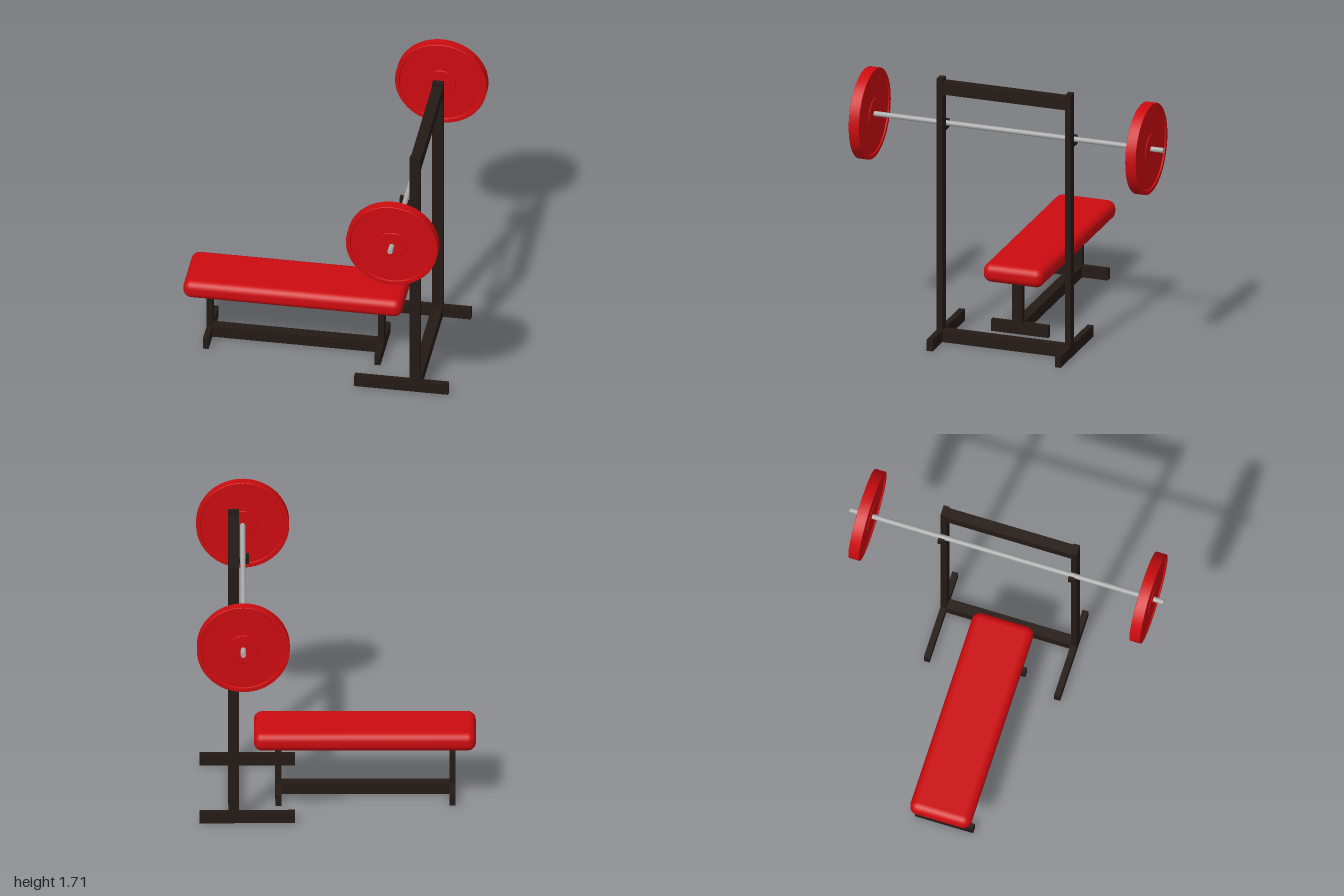
import * as THREE from 'three';
import { toCreasedNormals } from 'three/addons/utils/BufferGeometryUtils.js';
import { RoundedBoxGeometry } from 'three/addons/geometries/RoundedBoxGeometry.js';

const steel = new THREE.MeshStandardMaterial({ color: 0x241a16 });
const red = new THREE.MeshStandardMaterial({ color: 0xcc0c10 });
const chrome = new THREE.MeshStandardMaterial({ color: 0xaaaaaa });

// Box given by its extents along each axis
function beam(parent, name, [x0, x1], [y0, y1], [z0, z1]) {
  const mesh = new THREE.Mesh(new THREE.BoxGeometry(x1 - x0, y1 - y0, z1 - z0), steel);
  mesh.position.set((x0 + x1) / 2, (y0 + y1) / 2, (z0 + z1) / 2);
  mesh.name = name;
  parent.add(mesh);
}

// Weight plate: raised rim and hub around a recessed web, same on both faces
function plateGeometry() {
  const half = 0.034, web = 0.026, hub = 0.031;
  const lower = [[0, -hub], [0.09, -hub], [0.093, -web], [0.254, -web], [0.258, -half], [0.281, -half], [0.283, -half + 0.002]];
  const upper = lower.map(([r, y]) => [r, -y]).reverse();
  const points = [...lower, ...upper].map(([r, y]) => new THREE.Vector2(r, y));
  const geo = new THREE.LatheGeometry(points, 64);
  geo.rotateX(Math.PI / 2);
  return toCreasedNormals(geo, 0.5);
}

function createBench() {
  const bench = new THREE.Group();
  bench.name = 'bench';
  const pad = new THREE.Mesh(new RoundedBoxGeometry(1.35, 0.12, 0.388, 6, 0.05), red);
  pad.position.set(-0.175, 0.415, 0.009);
  pad.name = 'pad';
  bench.add(pad);

  // Legs on cross feet, joined by a floor rail
  const legZ = [-0.013, 0.053];
  for (const x of [[-0.725, -0.69], [0.333, 0.37]]) {
    beam(bench, 'benchLeg', x, [0.07, 0.37], legZ);
    beam(bench, 'benchFoot', x, [0, 0.073], [-0.18, 0.19]);
  }
  beam(bench, 'benchRail', [-0.69, 0.333], [0, 0.073], legZ);
  return bench;
}

function createRack() {
  const rack = new THREE.Group();
  rack.name = 'rack';
  const postX = [0.59, 0.656];
  for (const z of [[0.4, 0.438], [-0.43, -0.393]]) {
    beam(rack, 'upright', postX, [0, 1.705], z);
    beam(rack, 'rackFootInner', [0.25, 0.59], [0, 0.073], z);
    beam(rack, 'rackFootOuter', [0.656, 0.83], [0, 0.073], z);
    // Hook that cradles the bar
    beam(rack, 'hookBase', [0.53, 0.59], [1.352, 1.375], z);
    beam(rack, 'hookLip', [0.53, 0.548], [1.375, 1.41], z);
  }
  beam(rack, 'lowerCrossbeam', postX, [0, 0.073], [-0.393, 0.4]);
  beam(rack, 'upperCrossbeam', postX, [1.607, 1.683], [-0.393, 0.4]);
  return rack;
}

function createBarbell() {
  const barbell = new THREE.Group();
  barbell.name = 'barbell';
  const bar = new THREE.Mesh(new THREE.CylinderGeometry(0.016, 0.016, 2, 24), chrome);
  bar.rotation.x = Math.PI / 2;
  bar.name = 'bar';
  barbell.add(bar);
  const geo = plateGeometry();
  for (const z of [0.903, -0.888]) {
    const plate = new THREE.Mesh(geo, red);
    plate.position.z = z;
    plate.name = 'weightPlate';
    barbell.add(plate);
  }
  barbell.position.set(0.566, 1.392, 0);
  return barbell;
}

export function createModel() {
  const model = new THREE.Group();
  model.name = 'benchPress';
  model.add(createBench(), createRack(), createBarbell());
  return model;
}
